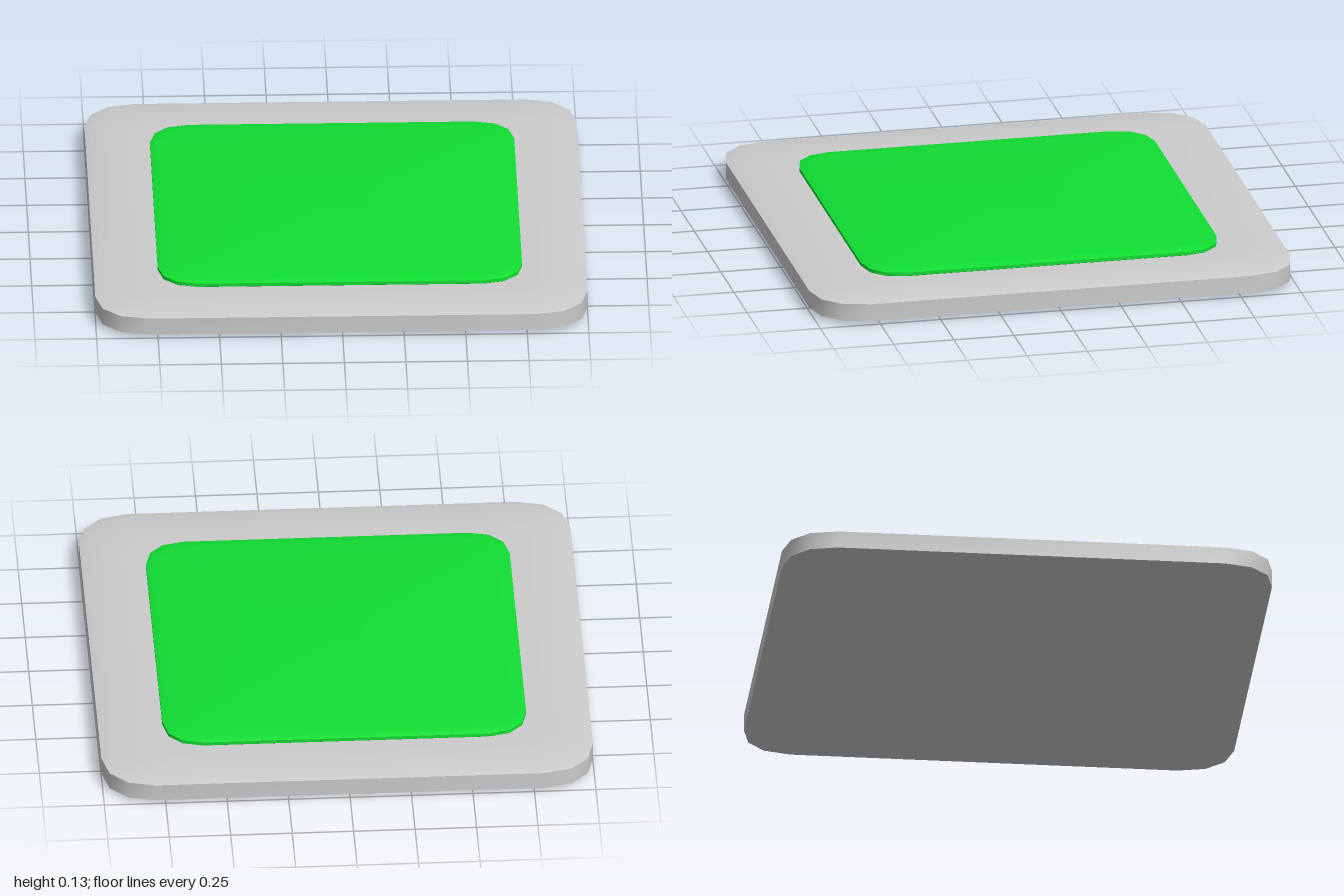
import * as THREE from 'three';
import { toCreasedNormals } from 'three/addons/utils/BufferGeometryUtils.js';

// Rounded-square outline: one corner of four points, turned four times.
function outline(half, corner) {
  const k = [[0, 1], [0.13, 0.47], [0.47, 0.13], [1, 0]];
  const points = [];
  for (let q = 0; q < 4; q++) {
    for (const [u, v] of k) {
      const p = new THREE.Vector2(half - u * corner, half - v * corner);
      points.push(p.rotateAround(new THREE.Vector2(), q * Math.PI / 2));
    }
  }
  return points;
}

// Pad skinned over stacked outlines; rings are [inset, y] from bottom to top.
function pad(name, half, corner, rings, bottomY, topY, color) {
  const loops = rings.map(([inset, y]) =>
    outline(half - inset, corner - inset * 0.6).map(p => new THREE.Vector3(p.x, y, p.y)));
  const pos = [];
  const tri = (...vs) => vs.forEach(v => pos.push(v.x, v.y, v.z));
  const bottom = new THREE.Vector3(0, bottomY, 0);
  const top = new THREE.Vector3(0, topY, 0);
  const n = loops[0].length;
  const last = loops[loops.length - 1];
  for (let j = 0; j < n; j++) {
    const k = (j + 1) % n;
    for (let i = 0; i < loops.length - 1; i++) {
      const lo = loops[i], hi = loops[i + 1];
      tri(lo[j], hi[j], lo[k]);
      tri(lo[k], hi[j], hi[k]);
    }
    tri(bottom, loops[0][j], loops[0][k]);
    tri(top, last[k], last[j]);
  }
  const geometry = new THREE.BufferGeometry();
  geometry.setAttribute('position', new THREE.Float32BufferAttribute(pos, 3));
  const mesh = new THREE.Mesh(toCreasedNormals(geometry, 0.7),
    new THREE.MeshStandardMaterial({ color }));
  mesh.name = name;
  return mesh;
}

export function createModel() {
  const model = new THREE.Group();
  model.name = 'button';
  // Grey base plate with softened edges
  model.add(pad('basePlate', 1, 0.21,
    [[0.2, 0.003], [0.03, 0.008], [0, 0.016], [0, 0.088], [0.03, 0.097], [0.2, 0.101]],
    0, 0.102, 0xcccccc));
  // Raised green pad
  model.add(pad('greenPad', 0.74, 0.16,
    [[0.01, 0.095], [0, 0.103], [0, 0.117], [0.02, 0.124], [0.06, 0.127]],
    0.095, 0.128, 0x11dd33));
  return model;
}
